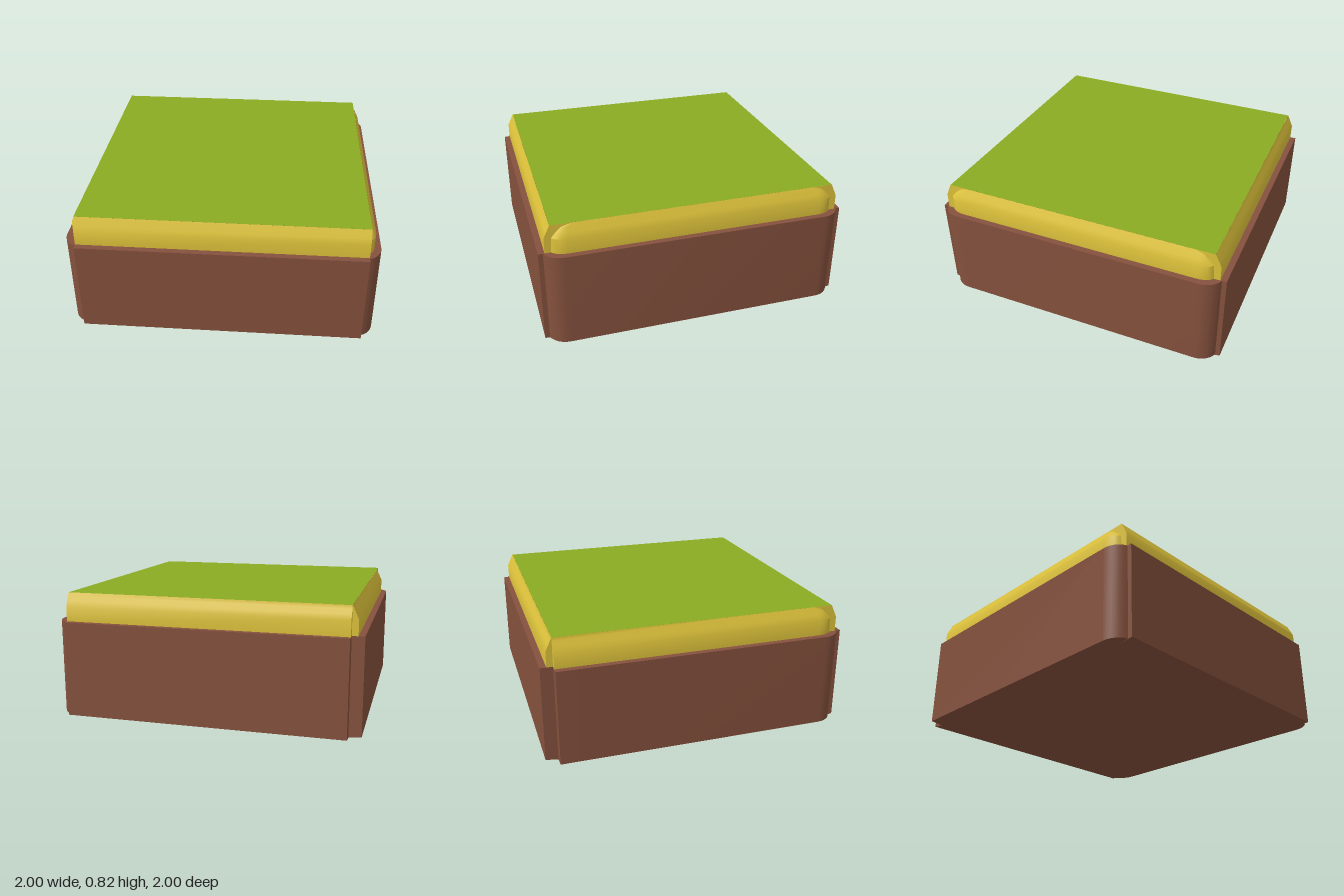
import * as THREE from 'three';
import { toCreasedNormals } from 'three/addons/utils/BufferGeometryUtils.js';

const HALF = 0.92; // half width of the square core
const STEPS = 6;   // segments in each rounded panel end

// Outline of the block: e = reach of the four side panels,
// zi / zo = where the rounding of the x panels begins and ends.
function outline(e, zi, zo) {
  const d = e - HALF, tMax = 1.23, c = Math.cos(tMax);
  const round = [];
  for (let i = 0; i <= STEPS; i++) {
    const t = tMax * i / STEPS;
    round.push([HALF + d * (Math.cos(t) - c) / (1 - c), zi + (zo - zi) * Math.sin(t) / Math.sin(tMax)]);
  }
  const inward = round.slice().reverse();
  return [
    [-HALF, -e], [HALF, -e],                 // back panel
    ...inward.map(([x, z]) => [x, -z]),      // right panel, rounded at both ends
    ...round,
    [HALF, e], [-HALF, e],                   // front panel
    ...inward.map(([x, z]) => [-x, z]),      // left panel, rounded in front only
    [-e, -HALF], [-HALF, -HALF],
  ];
}

// Skin between stacked outlines; rows are [y, e, zi, zo]
function loft(rows) {
  const pos = [], index = [];
  const n = outline(1, 0.8, 0.9).length;
  for (const [y, e, zi, zo] of rows) {
    for (const [x, z] of outline(e, zi, zo)) pos.push(x, y, z);
  }
  for (let r = 0; r < rows.length - 1; r++) {
    for (let i = 0; i < n; i++) {
      const a = r * n + i, b = r * n + (i + 1) % n;
      index.push(a, a + n, b, b, a + n, b + n);
    }
  }
  const g = new THREE.BufferGeometry();
  g.setAttribute('position', new THREE.Float32BufferAttribute(pos, 3));
  g.setIndex(index);
  return toCreasedNormals(g, 0.5);
}

export function createModel() {
  const brown = new THREE.MeshStandardMaterial({ color: 0x85513d });
  brown.name = 'earth brown';
  const yellow = new THREE.MeshStandardMaterial({ color: 0xdcc13a });
  yellow.name = 'straw yellow';
  const green = new THREE.MeshStandardMaterial({ color: 0x8bab23 });
  green.name = 'grass green';

  const group = new THREE.Group();
  group.name = 'groundTile';
  const add = (name, geometry, material) => {
    const mesh = new THREE.Mesh(geometry, material);
    mesh.name = name;
    group.add(mesh);
    return mesh;
  };

  // Brown base walls with a slight bevel underneath
  add('baseWalls', loft([
    [0, HALF, 0.85, 0.92],
    [0.01, 1, 0.85, 0.97],
    [0.635, 1, 0.85, 0.97],
  ]), brown);

  // Ledge on top of the base
  const ledgeShape = new THREE.Shape(outline(1, 0.85, 0.97).map(([x, z]) => new THREE.Vector2(x, -z)));
  const ledge = add('baseLedge', new THREE.ShapeGeometry(ledgeShape).rotateX(-Math.PI / 2), brown);
  ledge.position.y = 0.635;

  add('baseBottom', new THREE.PlaneGeometry(2 * HALF, 2 * HALF).rotateX(Math.PI / 2), brown);

  // Yellow band, leaning in towards the top
  add('upperBand', loft([
    [0.635, 0.96, 0.82, 0.92],
    [0.735, 0.96, 0.82, 0.915],
    [0.77, 0.944, 0.81, 0.885],
    [0.8, 0.93, 0.8, 0.85],
    [0.82, 0.9205, 0.77, 0.79],
  ]), yellow);

  // Green top surface
  const top = add('grassTop', new THREE.PlaneGeometry(2 * HALF, 2 * HALF).rotateX(-Math.PI / 2), green);
  top.position.y = 0.82;

  return group;
}
